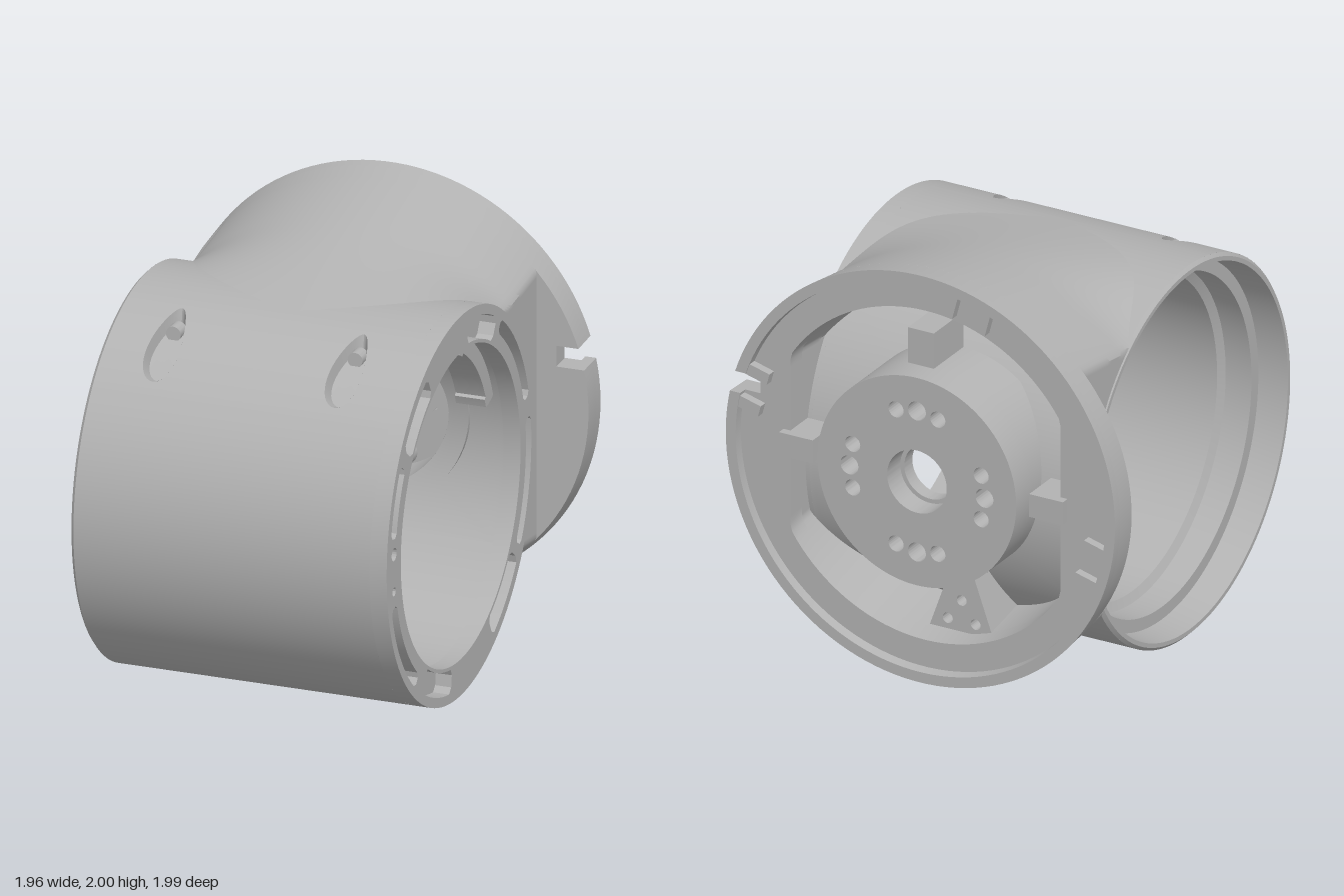
import * as THREE from 'three';
import { toCreasedNormals } from 'three/addons/utils/BufferGeometryUtils.js';

const RAD = Math.PI / 180;
const TUBE = { y: 0.89, z: 0.1, R: 0.89, r: 0.74 };
const HUB_Y = 1.02, FLANGE_R = 0.98, TAPER = 0.192;
const CAVITY_R = 0.8, CAVITY_X = 0.68; // round cavity with flat sides
const halfHeight = z => FLANGE_R - TAPER * (z + 0.96); // neck half height along z

export function createModel() {
  const group = new THREE.Group();
  const grey = new THREE.MeshStandardMaterial({ color: 0xb2b2b2, side: THREE.DoubleSide });
  grey.name = 'castGrey';

  const add = (name, geo, x = 0, y = 0, z = 0) => {
    const m = new THREE.Mesh(toCreasedNormals(geo, 0.5), grey);
    m.name = name;
    m.position.set(x, y, z);
    group.add(m);
    return m;
  };

  // Grid surface from a rule f(u, v) -> [x, y, z]
  const surface = (f, nu, nv) => {
    const pos = [], idx = [];
    for (let j = 0; j <= nv; j++) for (let i = 0; i <= nu; i++) pos.push(...f(i / nu, j / nv));
    for (let j = 0; j < nv; j++) for (let i = 0; i < nu; i++) {
      const a = j * (nu + 1) + i, b = a + nu + 1;
      idx.push(a, a + 1, b + 1, a, b + 1, b);
    }
    const g = new THREE.BufferGeometry();
    g.setAttribute('position', new THREE.Float32BufferAttribute(pos, 3));
    g.setIndex(idx);
    return g;
  };
  const { lerp, clamp } = THREE.MathUtils;
  const onTube = (R, x, t) => [x, TUBE.y + R * Math.sin(t), TUBE.z + R * Math.cos(t)];

  // Tube wall pieces: plain bands, or cells with one hole
  const band = (name, R, x0, x1, d0, d1) => add(name,
    surface((u, v) => onTube(R, lerp(x0, x1, v), lerp(d0, d1, u) * RAD), Math.ceil((d1 - d0) / 3), 2));
  const holedCell = (name, R, x0, x1, d0, d1, hole) => add(name, surface((u, v) => {
    const s = Math.min(u * 4, 3.99999), k = Math.floor(s), f = u === 1 ? 1 : s - k;
    const [px, pt] = [[f, 0], [1, f], [1 - f, 1], [0, 1 - f]][k];
    const [hx, ht] = hole((-135 + 360 * u) * RAD);
    return onTube(R, lerp(hx, lerp(x0, x1, px), v), lerp(ht, lerp(d0, d1, pt) * RAD, v));
  }, 96, 12));

  const X0 = -0.725, X1 = 0.66, BORE_X = -0.45;
  band('tubeOuterWall', TUBE.R, X0, X1, -65, 42);
  band('tubeOuterWall', TUBE.R, X0, X1, 77, 128);
  band('tubeOuterWall', TUBE.R, X0, X1, 214, 260);
  band('tubeBore', TUBE.r, BORE_X, X1, -146, 128);

  // Rear opening through the wall, closed by the hub
  const rearHole = R => a => [0.4 * Math.cos(a),
    Math.PI - Math.asin((HUB_Y - 0.4 * Math.sin(a) - TUBE.y) / R)];
  holedCell('tubeOuterRear', TUBE.R, X0, X1, 128, 214, rearHole(TUBE.R));
  holedCell('tubeBoreRear', TUBE.r, BORE_X, X1, 128, 214, rearHole(TUBE.r));
  add('hubSocketWall', surface((u, v) => {
    const p = onTube(TUBE.r, ...rearHole(TUBE.r)(u * 2 * Math.PI));
    return [p[0], p[1], lerp(p[2], -0.86, v)];
  }, 72, 1));

  // Teardrop screw pockets, upper and lower pair
  for (const [d0, d1, mid, s] of [[42, 77, 59.5, 1], [-100, -65, -83, -1]]) {
    for (const [xa, xb, cx] of [[X0, -0.03, -0.46], [-0.03, X1, 0.39]]) {
      const drop = k => a => [cx + k * 0.072 * (1 - 0.35 * s * Math.sin(a)) * Math.cos(a),
        (mid + k * 13.5 * Math.sin(a)) * RAD];
      holedCell('tubeOuterPocketed', TUBE.R, xa, xb, d0, d1, drop(1));
      add('pocketWall', surface((u, v) =>
        onTube(TUBE.R - 0.06 * v, ...drop(1 - 0.15 * v)(u * 2 * Math.PI)), 40, 3));
      add('pocketFloor', surface((u, v) =>
        onTube(TUBE.R - 0.06, ...drop(0.85 * v)(u * 2 * Math.PI)), 40, 3));
      const p = onTube(TUBE.R - 0.05, cx, (mid + s * 7) * RAD);
      add('screwHead', new THREE.CylinderGeometry(0.035, 0.035, 0.07, 20).rotateX(Math.PI / 2), ...p);
    }
  }

  // Counterbored end and backing of the slotted end
  const lathe = pts => new THREE.LatheGeometry(pts.map(p => new THREE.Vector2(...p)), 120).rotateZ(-Math.PI / 2);
  add('counterboredEnd', lathe([[0.89, X0], [0.875, -0.74], [0.855, -0.74], [0.84, -0.6], [0.78, -0.6],
    [0.78, -0.47], [0.74, BORE_X]]), 0, TUBE.y, TUBE.z);
  add('slotBacking', lathe([[0.73, 0.665], [0.885, 0.665]]), 0, TUBE.y, TUBE.z);

  // Ring sector outline in the end plane (degrees, front = 0, up = 90)
  const sector = (r0, r1, d0, d1) => {
    const pts = [], n = 16;
    const at = (r, d) => pts.push(new THREE.Vector2(-r * Math.cos(d * RAD), r * Math.sin(d * RAD)));
    const c = Math.min(1.5, (d1 - d0) / 8), e = (r1 - r0) * 0.25;
    at(r0 + e, d0);
    for (let i = 0; i <= n; i++) at(r0, lerp(d0 + c, d1 - c, i / n));
    at(r0 + e, d1);
    at(r1 - e, d1);
    for (let i = n; i >= 0; i--) at(r1, lerp(d0 + c, d1 - c, i / n));
    at(r1 - e, d0);
    return pts;
  };
  const circle = (x, y, r) => new THREE.Path().absarc(x, y, r, 0, 2 * Math.PI, true);
  const extrude = (shape, depth) => new THREE.ExtrudeGeometry(shape, { depth, bevelEnabled: false, curveSegments: 60 });

  const endShape = new THREE.Shape().absarc(0, 0, TUBE.R, 0, 2 * Math.PI);
  endShape.holes.push(circle(0, 0, 0.72));
  for (const [a, b] of [[10, 32], [125, 165], [172, 212], [-50, -13]])
    endShape.holes.push(new THREE.Path(sector(0.785, 0.85, a, b)));
  for (const [a, b] of [[37, 62], [96, 121], [216, 243], [-82, -56]])
    endShape.holes.push(new THREE.Path(sector(0.735, 0.845, a, b)));
  endShape.holes.push(circle(-0.8, 0.07, 0.03), circle(-0.8, -0.105, 0.02));
  add('slottedEndRing', extrude(endShape, 0.08).rotateY(Math.PI / 2), 0.66, TUBE.y, TUBE.z);

  // Catches on the bore
  for (const [a, b] of [[-3, 41], [116, 161]])
    for (const [r, p, q] of [[0.665, a, b], [0.65, a, a + 5], [0.65, b - 5, b]])
      add('boreCatch', extrude(new THREE.Shape(sector(r, 0.75, p, q)), 0.14).rotateY(Math.PI / 2), 0.48, TUBE.y, TUBE.z);

  // Neck: tapering flat-sided loft that widens and ends on the tube
  const neck = (scale, maxX, zMax) => surface((u, v) => {
    const t = u * 2 * Math.PI;
    const yAt = z => HUB_Y + scale * halfHeight(z) * Math.sin(t);
    let z = -0.82;
    while (z < zMax && Math.hypot(yAt(z) - TUBE.y, z - TUBE.z) > TUBE.R - 0.002) z += 0.002;
    z = lerp(-0.82, z, v);
    const halfWidth = scale * (FLANGE_R + 2.3 * Math.max(0, z + 0.5) ** 2);
    return [clamp(halfWidth * Math.cos(t), -maxX, maxX), yAt(z), z];
  }, 240, 20);
  add('neck', neck(1, 0.738, 0.26));
  add('cavityWall', neck(CAVITY_R / FLANGE_R, CAVITY_X, -0.45));
  add('cavityFloor', new THREE.ShapeGeometry(
    new THREE.Shape().absellipse(0, HUB_Y, CAVITY_R, 0.72, 0.78, Math.PI - 0.78, false, 0), 40), 0, 0, -0.45);

  // Flange with raised lip and side notch, its height following the neck taper
  const tapered = (geo, z0) => {
    const p = geo.attributes.position;
    for (let i = 0; i < p.count; i++) p.setY(i, p.getY(i) * halfHeight(p.getZ(i) + z0) / FLANGE_R);
    return geo;
  };
  const notched = () => new THREE.Shape().absarc(0, 0, FLANGE_R, Math.asin(0.3 / FLANGE_R),
    2 * Math.PI + Math.asin(0.2 / FLANGE_R));
  const face = notched().lineTo(0.83, 0.2).lineTo(0.83, 0.3);
  const rim = Array.from({ length: 120 }, (_, i) => -i * 3 * RAD);
  face.holes.push(new THREE.Path(rim.map(a => new THREE.Vector2(
    clamp(CAVITY_R * Math.cos(a), -CAVITY_X, CAVITY_X), CAVITY_R * Math.sin(a)))));
  add('flange', tapered(extrude(face, 0.1), -0.92), 0, HUB_Y, -0.92);
  const lip = notched().absarc(0, 0, 0.93, 2 * Math.PI + Math.asin(0.2 / 0.93), Math.asin(0.3 / 0.93), true);
  add('flangeLip', tapered(extrude(lip, 0.045), -0.965), 0, HUB_Y, -0.965);

  // Paired lugs inside the lip
  for (const d of [15, 105, 195]) for (const s of [-1, 1]) {
    const a = d * RAD, x = 0.88 * Math.cos(a) - s * 0.085 * Math.sin(a), y = 0.88 * Math.sin(a) + s * 0.085 * Math.cos(a);
    add('lipLug', new THREE.BoxGeometry(0.12, 0.055, 0.05), x, HUB_Y + y, -0.935).rotation.z = a;
  }

  // Hub plate with centre hole and four groups of three bolt holes, on a round skirt
  const hub = new THREE.Shape().absarc(0, 0, 0.5, 0, 2 * Math.PI);
  hub.holes.push(circle(0, 0, 0.15));
  for (let k = 0; k < 4; k++) for (const d of [-18, 0, 18]) {
    const a = (k * 90 + d) * RAD, x = 0.34 * Math.cos(a), y = 0.34 * Math.sin(a);
    hub.holes.push(circle(x, y, d ? 0.038 : 0.045));
    add('boltBoss', new THREE.CylinderGeometry(0.058, 0.058, 0.13, 20).rotateX(Math.PI / 2), x, HUB_Y + y, -0.8);
  }
  add('hubPlate', extrude(hub, 0.13), 0, HUB_Y, -0.995);
  add('hubSkirt', new THREE.CylinderGeometry(0.5, 0.5, 0.25, 72, 1, true).rotateX(Math.PI / 2), 0, HUB_Y, -0.74);
  const collar = new THREE.Shape().absarc(0, 0, 0.21, 0, 2 * Math.PI);
  collar.holes.push(circle(0, 0, 0.13));
  add('hubCollar', extrude(collar, 0.07), 0, HUB_Y, -0.88);

  // Blocks around the hub
  add('topBlock', new THREE.BoxGeometry(0.13, 0.17, 0.26), 0, HUB_Y + 0.63, -0.83);
  for (const s of [-1, 1])
    add('sideBlock', new THREE.BoxGeometry(0.17, 0.11, 0.2), s * 0.63, HUB_Y, -0.86);
  const boss = new THREE.Shape([[-0.06, 0.18], [0.06, 0.18], [0.16, -0.1], [-0.16, -0.1]].map(p => new THREE.Vector2(...p)));
  boss.holes.push(circle(0, 0.05, 0.025), circle(-0.07, -0.05, 0.025), circle(0.07, -0.05, 0.025));
  add('lowerBoss', extrude(boss, 0.28), -0.13, HUB_Y - 0.66, -0.83);

  return group;
}
